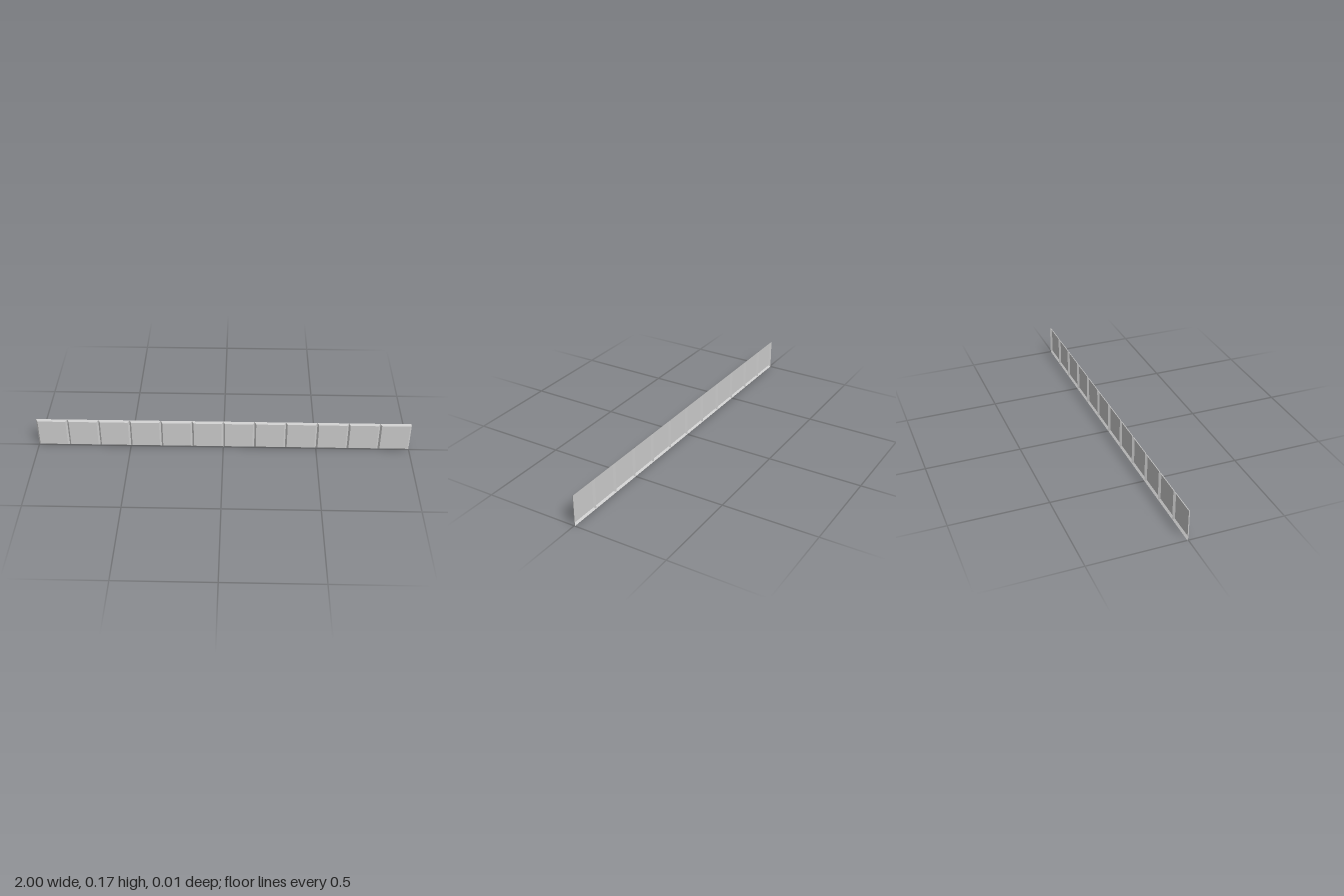
import * as THREE from 'three';

const COUNT = 12;
const SIZE = 2 / COUNT;   // tile width and height
const DEPTH = 0.01;
const BEVEL = 0.009;      // width of the sloping rim

export function createModel() {
  const model = new THREE.Group();
  model.name = 'tileStrip';
  const material = new THREE.MeshStandardMaterial({
    color: 0xcccccc, flatShading: true, side: THREE.DoubleSide,
  });

  // sloping rim: an open four-sided frustum, narrow end to the front
  const inner = SIZE - 2 * BEVEL;
  const rimGeometry = new THREE.CylinderGeometry(
    inner * Math.SQRT1_2, SIZE * Math.SQRT1_2, DEPTH, 4, 1, true);
  rimGeometry.rotateY(Math.PI / 4).rotateX(Math.PI / 2);

  // flat front face; the back of each tile stays open
  const faceGeometry = new THREE.PlaneGeometry(inner, inner);
  faceGeometry.translate(0, 0, DEPTH / 2);

  for (let i = 0; i < COUNT; i++) {
    const tile = new THREE.Group();
    tile.name = `tile${i + 1}`;
    const rim = new THREE.Mesh(rimGeometry, material);
    rim.name = 'bevelledRim';
    const face = new THREE.Mesh(faceGeometry, material);
    face.name = 'frontFace';
    tile.add(rim, face);
    tile.position.set(-1 + SIZE * (i + 0.5), SIZE / 2, 0);
    model.add(tile);
  }
  return model;
}
